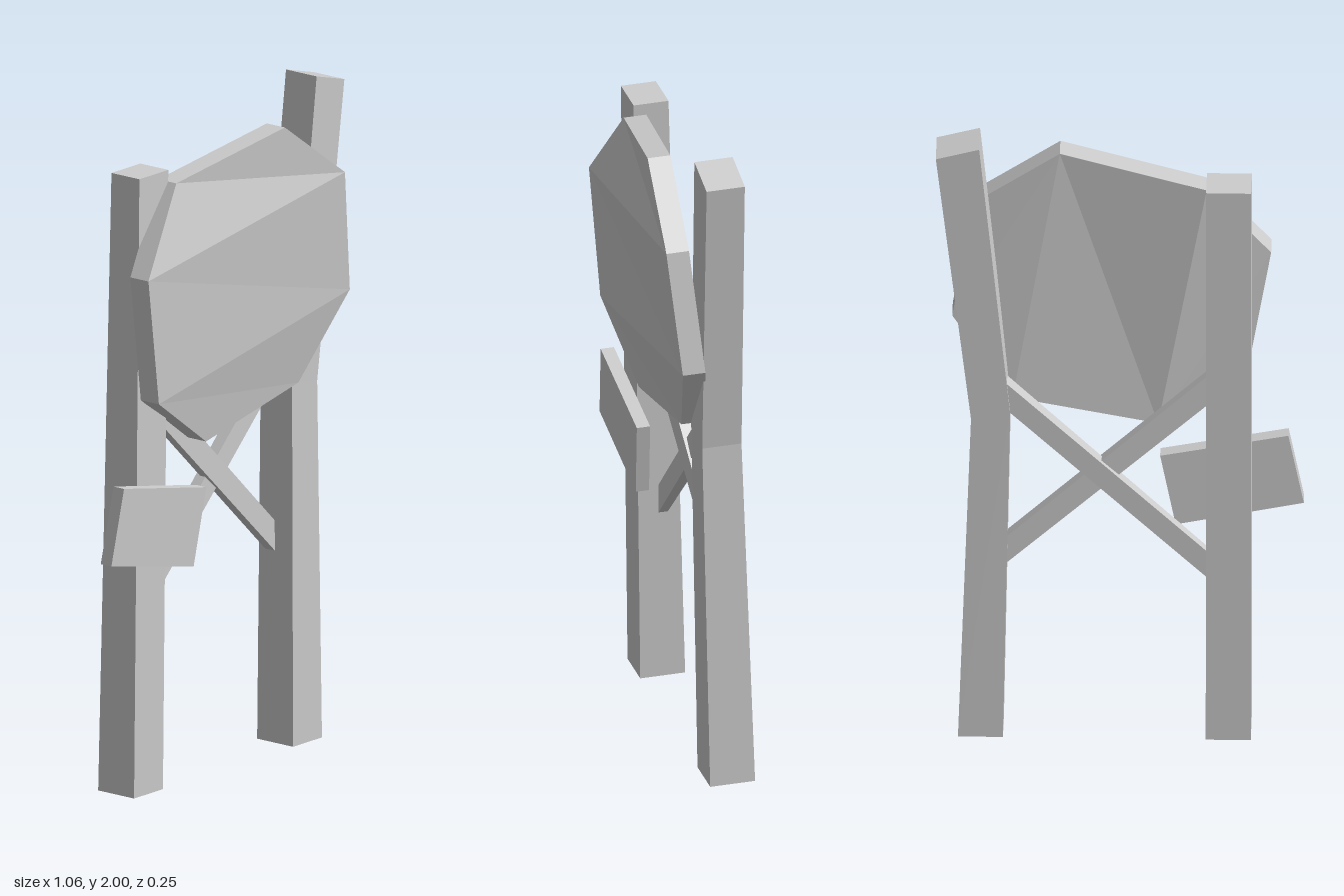
import * as THREE from 'three';

// Flat-faced loft through rings of [x, y, z] points, each ring counter-clockwise
// when seen from the last ring's end. Caps are lists of polygons (ring indices).
function loft(rings, startCap, endCap) {
  const n = rings[0].length;
  const all = rings[0].map((_, i) => i);
  const pos = [];
  const poly = (pts) => {
    for (let i = 1; i < pts.length - 1; i++) pos.push(...pts[0], ...pts[i], ...pts[i + 1]);
  };
  for (let r = 0; r < rings.length - 1; r++) {
    for (let i = 0; i < n; i++) {
      const j = (i + 1) % n;
      poly([rings[r][i], rings[r][j], rings[r + 1][j], rings[r + 1][i]]);
    }
  }
  for (const f of startCap || [all]) poly(f.map((i) => rings[0][i]).reverse());
  for (const f of endCap || [all]) poly(f.map((i) => rings[rings.length - 1][i]));
  const geo = new THREE.BufferGeometry();
  geo.setAttribute('position', new THREE.Float32BufferAttribute(pos, 3));
  geo.computeVertexNormals();
  return geo;
}

// Cross-section of a post: left and right x (each with its own height), back and front z
const postRing = (x0, y0, x1, y1, z0, z1) =>
  [[x0, y0, z1], [x1, y1, z1], [x1, y1, z0], [x0, y0, z0]];

// Cross-section of a brace at a given x
const braceRing = (x, y0, y1, z0, z1) =>
  [[x, y0, z1], [x, y0, z0], [x, y1, z0], [x, y1, z1]];

export function createModel() {
  const model = new THREE.Group();
  const grey = new THREE.MeshStandardMaterial({ color: 0xcccccc });
  grey.name = 'plain grey';
  const add = (name, geo) => {
    const mesh = new THREE.Mesh(geo, grey);
    mesh.name = name;
    model.add(mesh);
  };

  // Posts: one straight, one bent at a knee, both leaning forward
  add('straightPost', loft([
    postRing(-0.38, 0, -0.25, 0, -0.13, 0.005),
    postRing(-0.38, 1.86, -0.25, 1.86, -0.08, 0.025),
  ]));
  add('bentPost', loft([
    postRing(0.335, 0, 0.465, 0, -0.13, 0.005),
    postRing(0.315, 1.1, 0.428, 1.08, -0.1, 0.018),
    postRing(0.405, 2.0, 0.53, 1.965, -0.08, 0.035),
  ]));

  // Crossed braces between the posts
  add('risingBrace', loft([
    braceRing(-0.26, 0.52, 0.61, -0.078, -0.05),
    braceRing(0.33, 1.11, 1.2, -0.088, -0.042),
  ]));
  add('fallingBrace', loft([
    braceRing(-0.26, 1.11, 1.21, -0.046, -0.014),
    braceRing(0.335, 0.57, 0.66, -0.092, -0.055),
  ]));

  // Large warped eight-sided board
  const front = [
    [-0.25, 1.825, 0.055], [-0.435, 1.58, 0.105], [-0.37, 1.195, 0.09], [-0.11, 1.02, 0.05],
    [0.31, 1.105, 0.046], [0.485, 1.355, 0.093], [0.425, 1.725, 0.125], [0.175, 1.91, 0.108],
  ];
  const back = front.map(([x, y, z]) => [x, y, z - 0.068]);
  add('signBoard', loft([back, front],
    [[0, 1, 2, 3], [0, 3, 7], [3, 4, 7], [4, 5, 6, 7]],
    [[0, 1, 6, 7], [1, 2, 5, 6], [2, 3, 4, 5]]));

  // Small tilted plaque on the straight post
  const plaque = [
    [-0.53, 0.735, 0.045], [-0.16, 0.655, 0.045], [-0.115, 0.885, 0.055], [-0.485, 0.96, 0.055],
  ];
  add('smallPlaque', loft([plaque.map(([x, y, z]) => [x, y, z - 0.04]), plaque]));

  return model;
}
